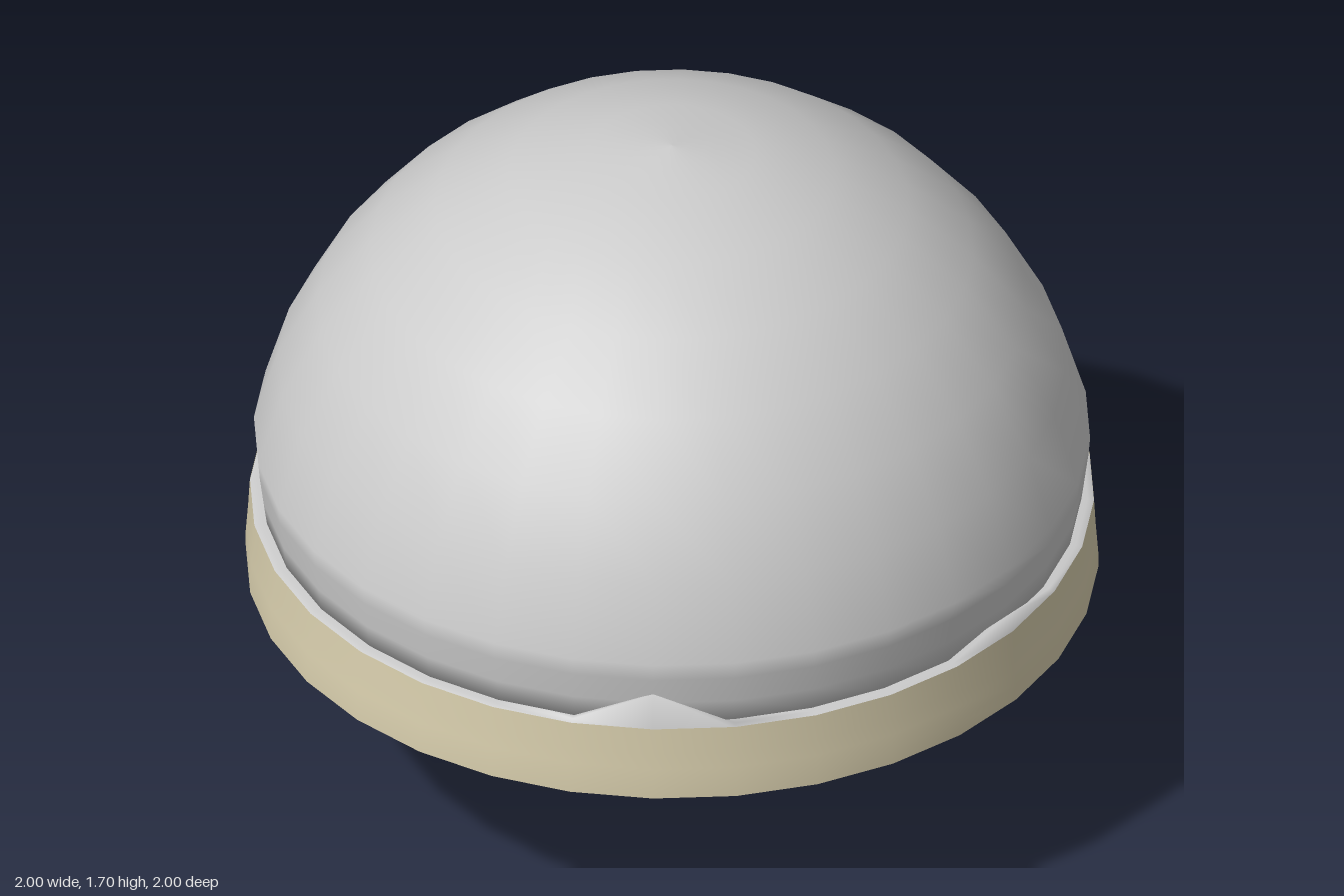
import * as THREE from 'three';
import { mergeVertices } from 'three/addons/utils/BufferGeometryUtils.js';

const SEGMENTS = 32;
const grey = new THREE.MeshStandardMaterial({ color: 0xcccccc, side: THREE.DoubleSide });
const tan = new THREE.MeshStandardMaterial({ color: 0xd9cfae, side: THREE.DoubleSide });

// Turned part; profile runs from the bottom to the top
function turned(name, profile, material) {
  const points = profile.map(([r, y]) => new THREE.Vector2(r, y));
  const mesh = new THREE.Mesh(new THREE.LatheGeometry(points, SEGMENTS), material);
  mesh.name = name;
  return mesh;
}

// Moves vertices by a rule (radius, y, segment index) => new y, then smooths
function reshape(mesh, rule) {
  let geometry = mesh.geometry;
  geometry.deleteAttribute('normal');
  geometry.deleteAttribute('uv');
  const p = geometry.attributes.position;
  for (let i = 0; i < p.count; i++) {
    const x = p.getX(i), z = p.getZ(i);
    const k = Math.round(Math.atan2(x, z) / (Math.PI * 2) * SEGMENTS);
    p.setY(i, rule(Math.hypot(x, z), p.getY(i), (k + SEGMENTS) % SEGMENTS));
  }
  geometry = mergeVertices(geometry, 1e-4);
  geometry.computeVertexNormals();
  mesh.geometry = geometry;
}

export function createModel() {
  const model = new THREE.Group();

  // Upper hemisphere, tucked in at its foot
  const dome = [[0.9, 0.715], [0.96, 0.72], [0.968, 0.78], [0.977, 0.85]];
  for (let i = 1; i <= 8; i++) {
    const a = i * Math.PI / 16;
    dome.push([i === 8 ? 0 : Math.cos(a), 0.7 + Math.sin(a)]);
  }
  model.add(turned('dome', dome, grey));

  // Narrow ledge around the foot of the dome, with two lifted spots
  const ledge = turned('ledge', [[0.99, 0.715], [0.975, 0.722], [0.94, 0.722]], grey);
  reshape(ledge, (r, y, k) => {
    if (r > 0.98 || r < 0.95) return y;
    return k === 0 ? 0.76 : k === 27 ? 0.81 : y;
  });
  model.add(ledge);

  // Coloured rim band
  model.add(turned('rimBand',
    [[1, 0.53], [1, 0.57], [0.997, 0.61], [0.994, 0.65], [0.99, 0.72]], tan));

  // Underside with sixteen radial grooves, deepest at the inner edge
  const underside = turned('groovedUnderside',
    [[0, 0.62], [0.58, 0.61], [0.64, 0.59], [0.66, 0.48], [0.76, 0.492], [0.9, 0.515], [1, 0.53]], tan);
  reshape(underside, (r, y, k) => {
    if (k % 2 === 0 || r < 0.65 || r > 0.89) return y;
    return r < 0.7 ? 0.575 : 0.54;
  });
  model.add(underside);

  // Lower bowl
  const bowl = [];
  for (let i = 0; i <= 6; i++) {
    const a = i * Math.PI / 16;
    bowl.push([0.6 * Math.sin(a), 0.605 - 0.6 * Math.cos(a)]);
  }
  bowl.push([0.582, 0.46], [0.588, 0.485]);
  model.add(turned('bowl', bowl, grey));
  model.add(turned('bowlNeck', [[0.588, 0.485], [0.52, 0.615]], grey));

  // Stand the bowl's lowest point on the ground
  model.position.y = -0.005;
  return model;
}
